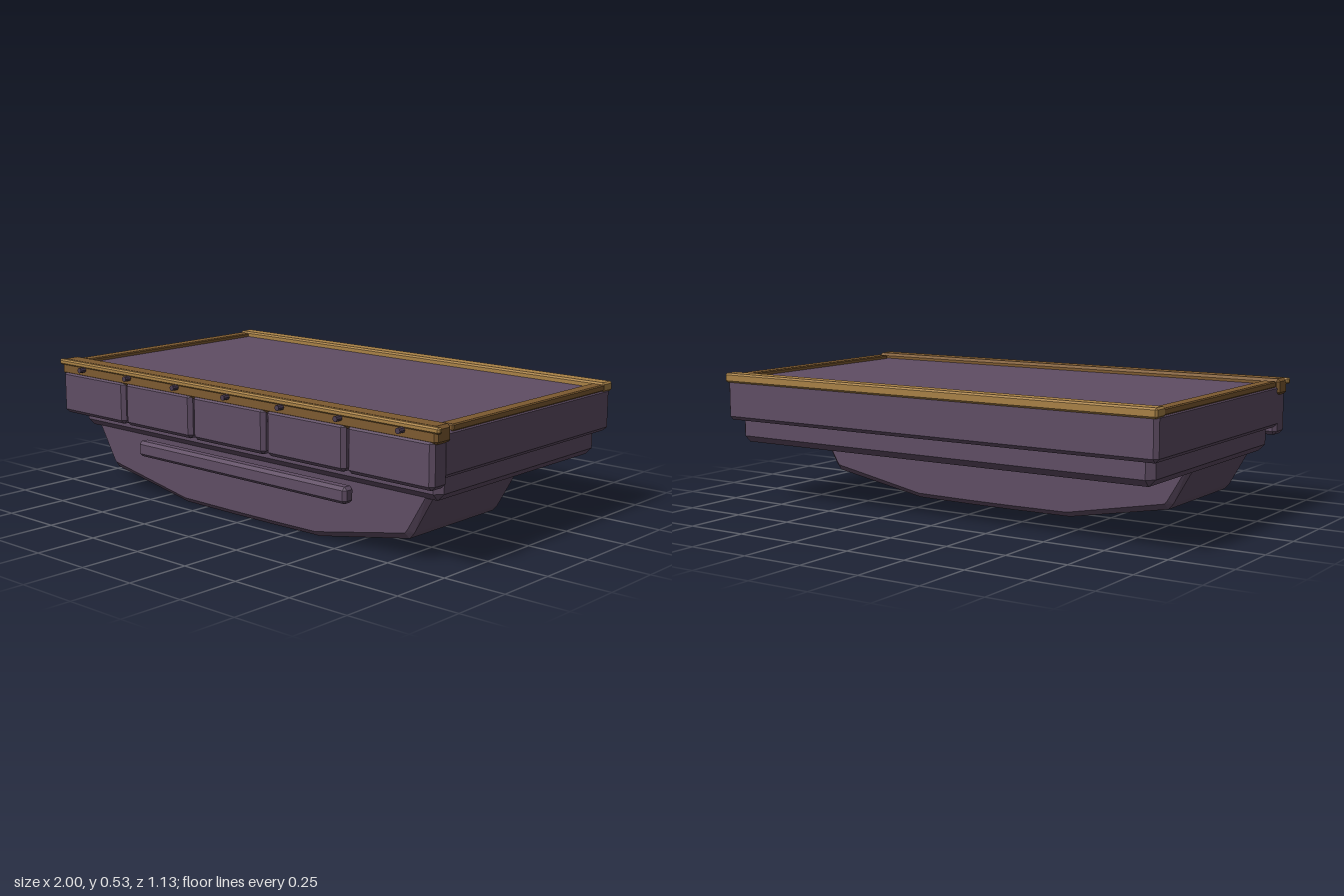
import * as THREE from 'three';
import { ConvexGeometry } from 'three/addons/geometries/ConvexGeometry.js';

const material = (name, color) => {
  const m = new THREE.MeshStandardMaterial({ color });
  m.name = name;
  return m;
};

// Box between two corners with every edge chamfered by c
function chamferBox([x0, y0, z0], [x1, y1, z1], c) {
  const h = [(x1 - x0) / 2, (y1 - y0) / 2, (z1 - z0) / 2];
  const points = [];
  for (const sx of [-1, 1]) for (const sy of [-1, 1]) for (const sz of [-1, 1]) {
    for (let axis = 0; axis < 3; axis++) {
      const [a, b, d] = h.map((v, i) => (i === axis ? v : v - c));
      points.push(new THREE.Vector3(sx * a, sy * b, sz * d));
    }
  }
  return new ConvexGeometry(points).translate((x0 + x1) / 2, (y0 + y1) / 2, (z0 + z1) / 2);
}

// Boat-shaped keel: mirrored half profile, inset at both ends for the chamfer
function keelGeometry() {
  const outer = [[0.897, 0.265], [0.805, 0.105], [0.785, 0.082], [0.36, 0.006], [0.1, 0.004]];
  const inner = [[0.877, 0.265], [0.79, 0.12], [0.778, 0.105], [0.355, 0.026], [0.1, 0.024]];
  const points = [];
  const ring = (profile, z) => {
    for (const [x, y] of profile) for (const s of [-1, 1]) points.push(new THREE.Vector3(s * x, y, z));
  };
  ring(inner, 0.441);
  ring(outer, 0.421);
  ring(outer, -0.075);
  ring(inner, -0.095);
  return new ConvexGeometry(points);
}

export function createModel() {
  const model = new THREE.Group();
  model.name = 'deckModule';

  const purple = material('purple hull', 0x5f4d64);
  const bronze = material('dark bronze', 0x7d5a30);
  const brass = material('light brass', 0xa88146);
  const dark = material('dark purple', 0x4b3d50);

  const add = (name, geometry, mat) => {
    const mesh = new THREE.Mesh(geometry, mat);
    mesh.name = name;
    model.add(mesh);
    return mesh;
  };

  // Stacked body
  add('deckSlab', chamferBox([-0.98, 0.34, -0.555], [0.98, 0.51, 0.49], 0.015), purple);
  add('lowerSlab', chamferBox([-0.945, 0.247, -0.52], [0.945, 0.37, 0.465], 0.027), purple);
  add('keel', keelGeometry(), purple);

  // Front panels
  for (let i = -2; i <= 2; i++) {
    const x = i * 0.393;
    add('frontPanel', chamferBox([x - 0.192, 0.308, 0.46], [x + 0.192, 0.485, 0.547], 0.015), purple);
  }
  add('frontBar', chamferBox([-0.557, 0.178, 0.456], [0.557, 0.241, 0.509], 0.012), purple);

  // Rails around the deck
  add('frontRail', chamferBox([-0.988, 0.467, 0.457], [0.988, 0.532, 0.541], 0.011), bronze);
  add('frontRailLip', chamferBox([-1, 0.508, 0.522], [1, 0.531, 0.546], 0.006), brass);
  add('backRail', chamferBox([-0.982, 0.494, -0.565], [0.982, 0.532, -0.5], 0.007), brass);
  for (const s of [-1, 1]) {
    const x = s * 0.955;
    add('sideRail', chamferBox([x - 0.026, 0.5, -0.51], [x + 0.026, 0.525, 0.443], 0.004), bronze);
  }

  // Rivets along the front rail
  const rivet = new THREE.CylinderGeometry(0.011, 0.011, 0.04, 8).toNonIndexed().rotateX(Math.PI / 2);
  rivet.computeVertexNormals();
  for (let i = -3; i <= 3; i++) {
    add('rivet', rivet, dark).position.set(i * 0.281, 0.502, 0.548);
  }

  return model;
}
